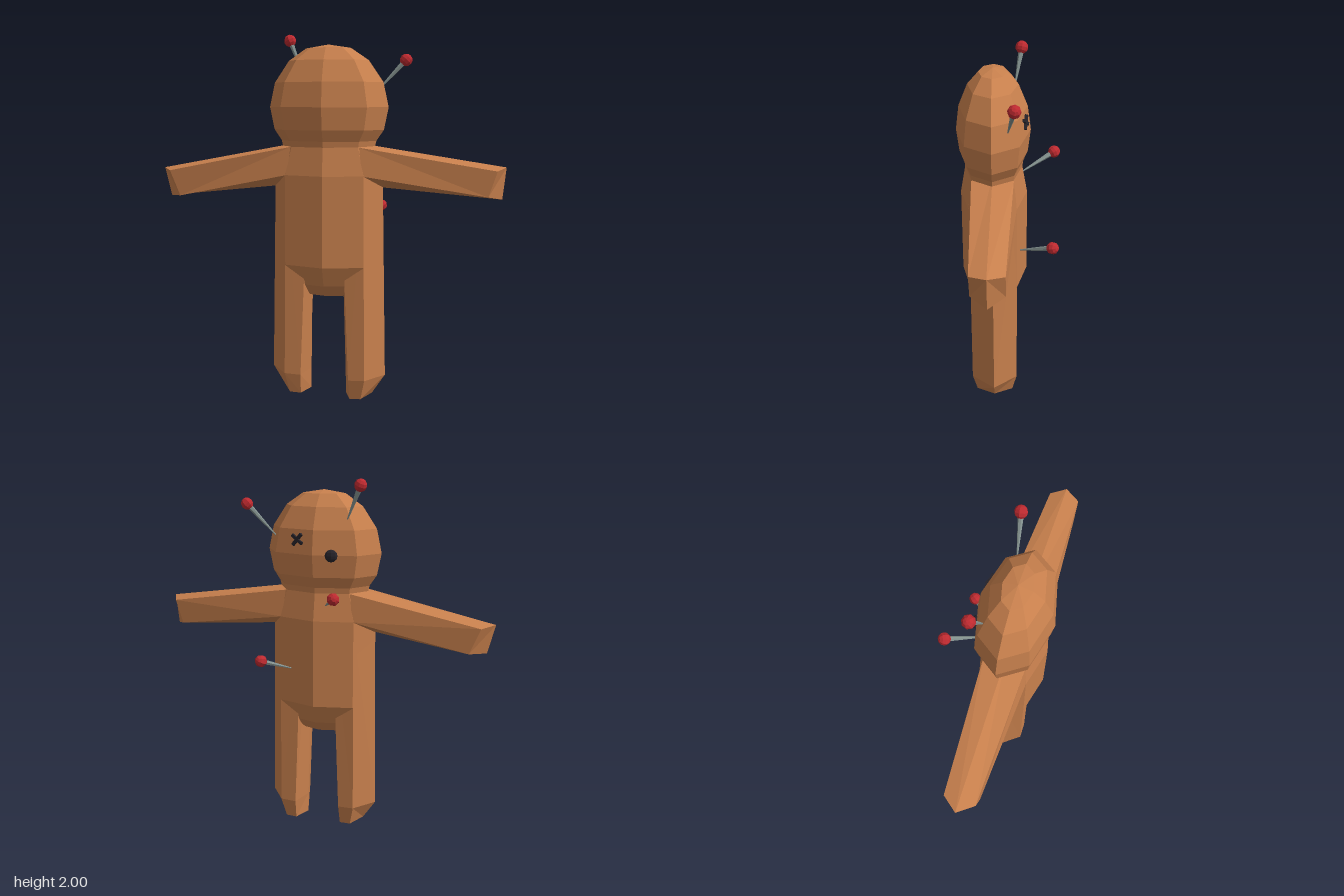
import * as THREE from 'three';

const CZ = 0.08; // depth of the doll's centre plane
const FLAT = 0.6; // depth of the body relative to its width

// Eight-sided flattened body of revolution from [radius, y] points, bottom to top
function turned(profile) {
  const g = new THREE.LatheGeometry(profile.map(([r, y]) => new THREE.Vector2(r, y)), 8);
  return g.scale(1, 1, FLAT).translate(0, 0, CZ);
}

// Six-sided limb through rings; each ring is four [x, y, dz] points, mirrored front to back
function limb(halfRings, side) {
  const rings = halfRings.map((h) => [
    ...h.map(([x, y, dz]) => [x * side, y, CZ + dz]),
    ...[h[2], h[1]].map(([x, y, dz]) => [x * side, y, CZ - dz]),
  ]);
  const index = [];
  const tri = (a, b, c) => (side > 0 ? index.push(a, b, c) : index.push(a, c, b));
  for (let k = 0; k < rings.length - 1; k++) {
    for (let i = 0; i < 6; i++) {
      const a = k * 6 + i, b = k * 6 + ((i + 1) % 6);
      tri(a, b, b + 6);
      tri(a, b + 6, a + 6);
    }
  }
  const end = (rings.length - 1) * 6;
  for (let i = 1; i < 5; i++) tri(end, end + i, end + i + 1);
  const g = new THREE.BufferGeometry();
  g.setAttribute('position', new THREE.Float32BufferAttribute(rings.flat(2), 3));
  g.setIndex(index);
  const flat = g.toNonIndexed();
  flat.computeVertexNormals();
  return flat;
}

export function createModel() {
  const mat = (name, color) => {
    const m = new THREE.MeshStandardMaterial({ color, flatShading: true });
    m.name = name;
    return m;
  };
  const cloth = mat('tan cloth', 0xc8804d);
  const red = mat('red pinhead', 0xbe2a30);
  const steel = mat('grey steel', 0x84928f);
  const black = mat('black thread', 0x27242b);

  const model = new THREE.Group();
  model.name = 'pinDoll';
  const add = (name, geometry, material, parent = model) => {
    const mesh = new THREE.Mesh(geometry, material);
    mesh.name = name;
    parent.add(mesh);
    return mesh;
  };

  // Head and torso
  add('head', turned([[0.255, 1.395], [0.262, 1.426], [0.302, 1.485], [0.326, 1.605],
    [0.297, 1.735], [0.218, 1.85], [0.122, 1.915], [0, 1.934]]), cloth);
  add('torso', turned([[0, 0.555], [0.13, 0.577], [0.232, 0.645], [0.304, 0.755],
    [0.3, 1.245], [0.255, 1.395], [0.255, 1.42]]), cloth);

  // Arms, each ending in an upright wedge; the right one hangs slightly lower
  const shoulder = [[0.17, 1.412, 0], [0.185, 1.395, 0.11], [0.205, 1.245, 0.127], [0.22, 1.182, 0]];
  add('leftArm', limb([shoulder,
    [[0.947, 1.295, 0], [0.9, 1.28, 0.083], [0.857, 1.145, 0.083], [0.93, 1.125, 0]]], 1), cloth);
  add('rightArm', limb([shoulder,
    [[0.95, 1.264, 0], [0.886, 1.255, 0.083], [0.829, 1.115, 0.083], [0.913, 1.106, 0]]], -1), cloth);

  // Legs, running up the sides of the torso, with chamfered feet
  for (const [name, side, lift] of [['leftLeg', 1, 0], ['rightLeg', -1, 0.014]]) {
    add(name, limb([
      [[0.299, 1.22, 0], [0.211, 1.22, 0.126], [0.09, 1.22, 0.122], [0.085, 1.22, 0]],
      [[0.322, 0.118 + lift, 0], [0.224, 0.122 + lift, 0.13], [0.134, 0.118 + lift, 0.128], [0.099, 0.118 + lift, 0]],
      [[0.25, 0.008 + lift, 0], [0.2, 0.006 + lift, 0.105], [0.138, 0.004 + lift, 0.105], [0.1, lift, 0]],
    ], side), cloth);
  }

  // Pins: a tapered shaft with its point in the cloth and a round head
  const pins = [
    [[-0.246, 1.967, -0.065], [-0.165, 1.785, -0.03]],
    [[0.404, 1.855, -0.033], [0.25, 1.687, 0]],
    [[-0.163, 1.408, -0.248], [-0.058, 1.33, -0.065]],
    [[0.252, 1.035, -0.237], [0.138, 0.952, -0.055]],
  ];
  for (const [ball, tip] of pins) {
    const b = new THREE.Vector3(...ball), t = new THREE.Vector3(...tip);
    const pin = new THREE.Group();
    pin.name = 'pin';
    pin.position.copy(t);
    pin.quaternion.setFromUnitVectors(new THREE.Vector3(0, 1, 0), b.clone().sub(t).normalize());
    const len = b.distanceTo(t);
    add('pinShaft', new THREE.CylinderGeometry(0.016, 0.003, len, 6).translate(0, len / 2, 0), steel, pin);
    add('pinHead', new THREE.SphereGeometry(0.034, 8, 6).translate(0, len, 0), red, pin);
    model.add(pin);
  }

  // Face on the back side: a button eye and a cross-stitched eye
  const tilt = Math.atan(0.059 / 0.231);
  const button = add('buttonEye', new THREE.SphereGeometry(0.034, 8, 6), black);
  button.scale.z = 0.5;
  button.position.set(-0.1, 1.605, -0.097);
  button.rotation.y = tilt;

  const stitch = new THREE.Group();
  stitch.name = 'stitchedEye';
  stitch.position.set(0.093, 1.682, -0.087);
  stitch.rotation.set(0.1, -tilt, 0);
  for (const angle of [0.6, -0.85]) {
    add('stitch', new THREE.BoxGeometry(0.078, 0.016, 0.018), black, stitch).rotation.z = angle;
  }
  model.add(stitch);

  return model;
}
